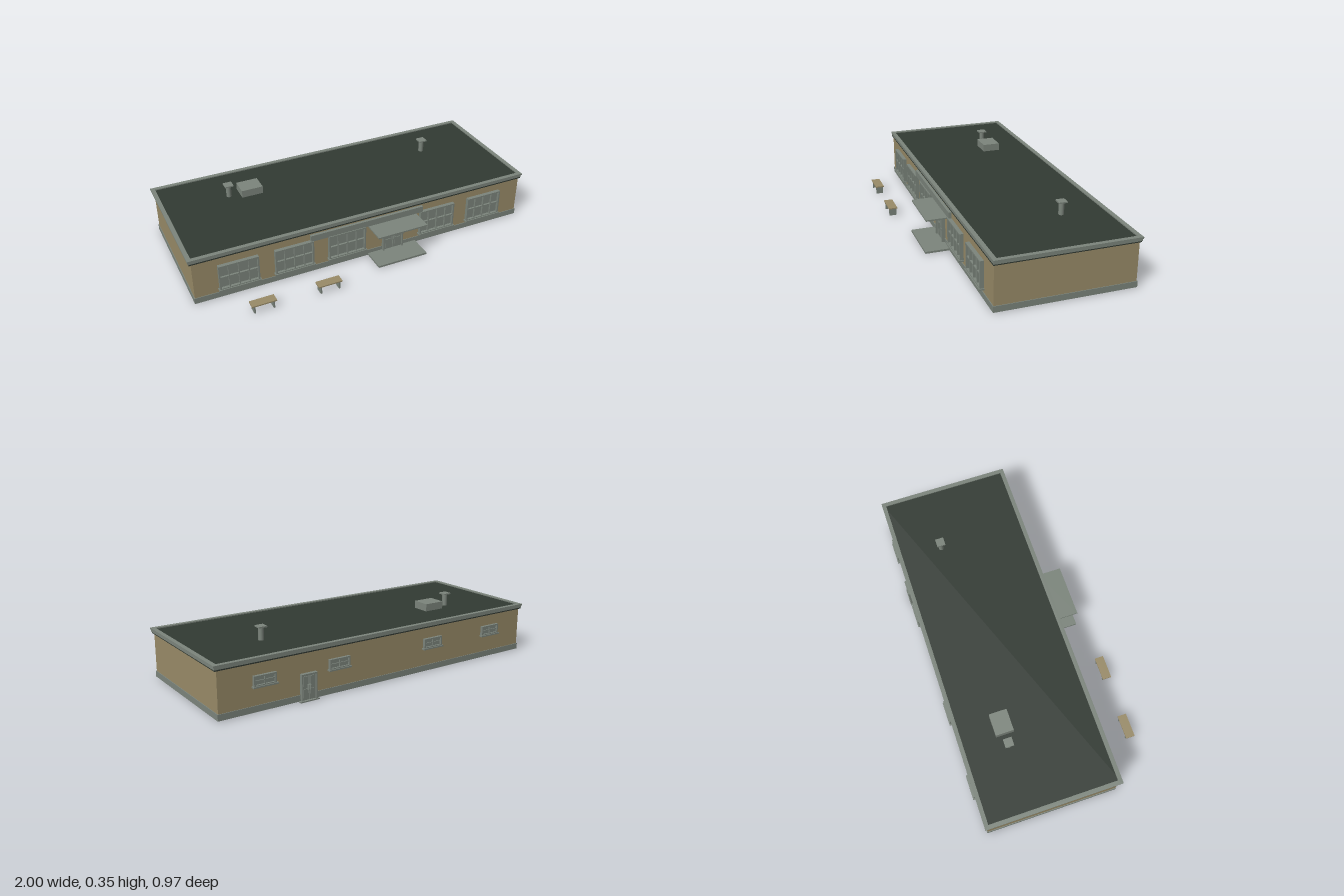
import * as THREE from 'three';

const mat = (name, color) => {
  const m = new THREE.MeshStandardMaterial({ color });
  m.name = name;
  return m;
};

export function createModel() {
  const tan = mat('tan wall', 0x998b68);
  const grey = mat('grey trim', 0x7c857c);
  const dark = mat('dark roofing', 0x323a33);

  const model = new THREE.Group();
  model.name = 'schoolhouse';

  // Box given by its extents along each axis
  const box = (parent, name, material, x0, x1, y0, y1, z0, z1) => {
    const m = new THREE.Mesh(new THREE.BoxGeometry(x1 - x0, y1 - y0, z1 - z0), material);
    m.position.set((x0 + x1) / 2, (y0 + y1) / 2, (z0 + z1) / 2);
    m.name = name;
    parent.add(m);
    return m;
  };
  const group = (name, x, y, z, turned = false) => {
    const g = new THREE.Group();
    g.name = name;
    g.position.set(x, y, z);
    if (turned) g.rotation.y = Math.PI;
    model.add(g);
    return g;
  };

  // Rectangular ring lying flat, from y0 to y1
  const ring = (name, material, hx, z0, z1, width, y0, y1) => {
    const rect = (C, a, b, c) => new C([[-a, b], [a, b], [a, c], [-a, c]].map(p => new THREE.Vector2(...p)));
    const s = rect(THREE.Shape, hx, -z1, -z0);
    s.holes.push(rect(THREE.Path, hx - width, -z1 + width, -z0 - width));
    const geo = new THREE.ExtrudeGeometry(s, { depth: y1 - y0, bevelEnabled: false });
    geo.rotateX(-Math.PI / 2).translate(0, y0, 0);
    const m = new THREE.Mesh(geo, material);
    m.name = name;
    model.add(m);
  };

  // Main block, plinth and flat roof
  const FRONT = 0.28, BACK = -0.46;
  box(model, 'walls', tan, -0.982, 0.982, 0.005, 0.256, BACK, FRONT);
  ring('plinth', grey, 0.986, BACK - 0.004, FRONT + 0.004, 0.02, 0.006, 0.039);
  ring('soffitBand', dark, 0.993, BACK - 0.006, FRONT + 0.006, 0.03, 0.252, 0.26);
  box(model, 'roof', dark, -0.985, 0.985, 0.256, 0.275, BACK, FRONT);
  ring('fascia', grey, 0.996, BACK - 0.008, FRONT + 0.006, 0.02, 0.259, 0.273);
  ring('roofRim', grey, 1.0, BACK - 0.011, FRONT + 0.009, 0.023, 0.272, 0.281);

  // Window with outer frame, glazing bars and sill, facing local +z
  const addWindow = (name, x, y, z, w, h, cols, rows, depth, turned) => {
    const g = group(name, x, y, z, turned);
    const t = 0.008, b = 0.0025;
    box(g, 'glass', grey, -w / 2 + t, w / 2 - t, t, h - t, 0, 0.006);
    for (const s of [-1, 1]) {
      const c = s * (w / 2 - t / 2);
      box(g, 'frameSide', grey, c - t / 2, c + t / 2, 0, h, 0, depth);
    }
    box(g, 'frameTop', grey, -w / 2 + t, w / 2 - t, h - t, h, 0, depth);
    box(g, 'frameBottom', grey, -w / 2 + t, w / 2 - t, 0, t, 0, depth);
    for (let i = 1; i < cols; i++) {
      const c = -w / 2 + (w * i) / cols;
      box(g, 'uprightBar', grey, c - b, c + b, t, h - t, 0, depth - 0.003);
    }
    for (let j = 1; j < rows; j++) {
      const c = (h * j) / rows;
      box(g, 'crossBar', grey, -w / 2 + t, w / 2 - t, c - b, c + b, 0, depth - 0.004);
    }
    box(g, 'sill', grey, -w / 2 - 0.006, w / 2 + 0.006, -0.005, 0.003, 0, depth + 0.006);
  };
  for (const x of [-0.742, -0.435, -0.128, 0.43, 0.74])
    addWindow('frontWindow', x, 0.06, FRONT, 0.218, 0.148, 4, 2, 0.021, false);
  for (const x of [-0.742, -0.312, 0.305, 0.735])
    addWindow('backWindow', x, 0.137, BACK, 0.124, 0.055, 2, 2, 0.016, true);

  // Double door with frame, glazed leaves and pull handles, facing local +z
  const addDoor = (name, x, z, w, h, turned) => {
    const g = group(name, x, 0.003, z, turned);
    const t = 0.007;
    box(g, 'frameTop', grey, -w / 2, w / 2, h - t, h, 0, 0.02);
    for (const s of [-1, 1]) {
      const c = s * (w / 2 - t / 2);
      box(g, 'frameSide', grey, c - t / 2, c + t / 2, 0, h - t, 0, 0.02);
      const leaf = s * (w / 4 - t / 4), lw = w / 4 - t / 2 - 0.001;
      box(g, 'leaf', grey, leaf - lw, leaf + lw, 0.002, h - t, 0, 0.01);
      for (const [a, b] of [[0.12, 0.45], [0.53, 0.9]])
        box(g, 'leafPanel', grey, leaf - lw * 0.6, leaf + lw * 0.6, h * a, h * b, 0.008, 0.014);
      box(g, 'handle', grey, s * 0.006 - 0.002, s * 0.006 + 0.002, h * 0.4, h * 0.6, 0.008, 0.022);
    }
  };
  addDoor('frontDoor', 0.152, FRONT, 0.124, 0.177, false);
  addDoor('backDoor', 0.49, BACK, 0.09, 0.145, true);
  box(model, 'backThreshold', grey, 0.435, 0.545, 0.003, 0.009, BACK - 0.024, BACK);

  // Entrance canopy, step and long name board
  box(model, 'canopy', grey, 0.003, 0.3, 0.191, 0.199, FRONT, 0.409);
  box(model, 'entranceStep', grey, 0.003, 0.3, 0.006, 0.017, FRONT, 0.417);
  box(model, 'signBoard', grey, -0.34, 0.335, 0.206, 0.242, FRONT, 0.296);

  // Rooftop unit and vents
  box(model, 'roofUnit', grey, -0.556, -0.434, 0.272, 0.317, -0.267, -0.167);
  for (const x of [-0.617, 0.612]) {
    const g = group('roofVent', x, 0, -0.217);
    const stem = new THREE.Mesh(new THREE.CylinderGeometry(0.015, 0.015, 0.072, 12), grey);
    stem.position.y = 0.308;
    stem.name = 'ventStem';
    g.add(stem);
    box(g, 'ventCap', grey, -0.024, 0.024, 0.343, 0.35, -0.024, 0.024);
  }

  // Benches
  for (const x of [-0.68, -0.315]) {
    const g = group('bench', x, 0, 0.462);
    box(g, 'seat', tan, -0.067, 0.067, 0.048, 0.055, -0.025, 0.025);
    for (const s of [-1, 1])
      box(g, 'benchLeg', grey, s * 0.052 - 0.004, s * 0.052 + 0.004, 0.005, 0.048, -0.021, 0.021);
  }
  return model;
}
